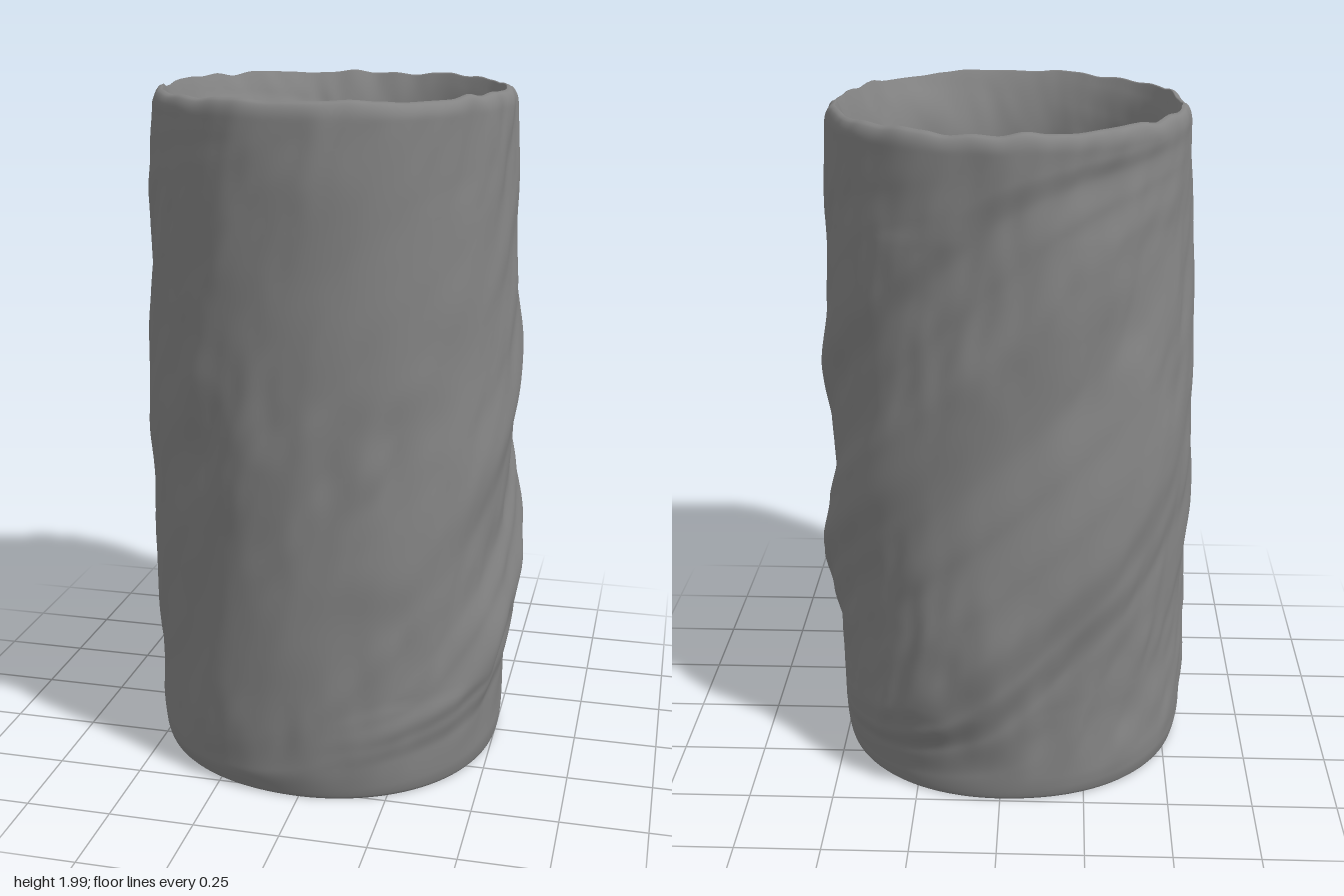
import * as THREE from 'three';

const COLS = 230, ROWS = 130, HEIGHT = 1.987, WALL = 0.085;
const TOP_TIP = 0.026, BASE_TIP = 0.012;

// Wall radius by height ([y, radius]) towards front, left (+x), back and right (-x)
const SIDES = [
  [[0, 0.545], [0.1, 0.557], [0.25, 0.562], [0.8, 0.56], [1.25, 0.575], [1.5, 0.569], [1.9, 0.565], [2, 0.562]],
  [[0, 0.51], [0.1, 0.515], [0.3, 0.52], [0.45, 0.545], [0.57, 0.567], [0.7, 0.545], [0.82, 0.52], [1, 0.53],
    [1.15, 0.545], [1.35, 0.525], [1.6, 0.51], [1.9, 0.5], [2, 0.497]],
  [[0, 0.5], [0.1, 0.502], [0.25, 0.517], [0.4, 0.553], [0.55, 0.57], [0.7, 0.562], [0.9, 0.537], [1.1, 0.51],
    [1.4, 0.522], [1.6, 0.505], [1.75, 0.492], [1.85, 0.505], [2, 0.508]],
  [[0, 0.55], [0.1, 0.557], [0.2, 0.56], [0.6, 0.56], [0.83, 0.57], [1, 0.563], [1.2, 0.555], [1.5, 0.548],
    [1.7, 0.537], [1.9, 0.527], [2, 0.523]],
];

const smooth = (t) => t * t * (3 - 2 * t);
const ramp = (v, from, to) => THREE.MathUtils.clamp((v - from) / (to - from), 0, 1);

function lookup(table, y) {
  let i = 0;
  while (i < table.length - 2 && y > table[i + 1][0]) i++;
  const [y0, r0] = table[i], [y1, r1] = table[i + 1];
  return r0 + (r1 - r0) * smooth(ramp(y, y0, y1));
}

// Blend the four side profiles around the ring, letting the bulges climb as they go round
function wallRadius(angle, y) {
  const q = (angle / (Math.PI / 2)) % 4, k = Math.floor(q), t = q - k;
  const climb = 0.7 * ramp(y, 0, 0.3) * ramp(y, 2, 1.7);
  const here = lookup(SIDES[k], y - climb * t);
  const next = lookup(SIDES[(k + 1) % 4], y + climb * (1 - t));
  return THREE.MathUtils.lerp(here, next, smooth(t)) + 0.008 * Math.sin(2 * angle) ** 2;
}

function hash(i, j, seed) {
  let h = (i * 374761393 + j * 668265263 + seed * 974634777) | 0;
  h = Math.imul(h ^ (h >>> 13), 1274126177);
  return ((h ^ (h >>> 16)) >>> 0) / 2147483648 - 1;
}

// Value noise that repeats every n cells around the ring
function noise(angle, v, n, seed) {
  const u = angle / (2 * Math.PI) * n;
  const i = Math.floor(u), j = Math.floor(v), fu = smooth(u - i), fv = smooth(v - j);
  const h = (a, b) => hash(((a % n) + n) % n, b, seed);
  return THREE.MathUtils.lerp(
    THREE.MathUtils.lerp(h(i, j), h(i + 1, j), fu),
    THREE.MathUtils.lerp(h(i, j + 1), h(i + 1, j + 1), fu), fv);
}

// Steep slanting bark-like streaks, stronger in some patches than others
function bark(angle, y, seed) {
  const slant = angle - 0.5 * y;
  const patch = 0.55 + 0.45 * noise(angle, y * 2, 7, seed + 3);
  return 0.006 * noise(slant, y * 2, 13, seed)
    + 0.011 * patch * noise(slant, y * 4, 38, seed + 1)
    + 0.005 * patch * noise(slant, y * 9, 76, seed + 2);
}

// Closed wall section: outer face up to a thin rounded lip, inner face back down to the base edge
function wallSection() {
  const rows = [];
  const heightAt = (t) => HEIGHT * (0.25 * t + 0.375 * (1 - Math.cos(Math.PI * t)));
  const round = (depth, size) => 1 - Math.sqrt(1 - (1 - ramp(depth, 0, size)) ** 2);
  const thin = (depth, size) => (1 - ramp(depth, 0, size)) ** 2;
  for (let i = 0; i < ROWS; i++) {
    const y = heightAt(i / ROWS);
    rows.push({ y, inset: TOP_TIP * round(HEIGHT - y, 0.045) + BASE_TIP * round(y, 0.08) });
  }
  for (let i = 0; i < ROWS; i++) {
    const y = heightAt(1 - i / ROWS);
    rows.push({ y, inset: WALL - (WALL - TOP_TIP) * thin(HEIGHT - y, 0.24) - (WALL - BASE_TIP) * thin(y, 0.24) });
  }
  return rows;
}

function barkTube() {
  const rows = wallSection(), positions = [], index = [];
  rows.forEach(({ y, inset }, r) => {
    const fade = smooth(ramp(y, 0, 0.22));
    const rim = smooth(ramp(y, 1.9, HEIGHT));
    for (let c = 0; c < COLS; c++) {
      const angle = 2 * Math.PI * c / COLS;
      const rough = THREE.MathUtils.lerp(bark(angle, y, 11), bark(angle, y, 47), inset / WALL);
      const radius = wallRadius(angle, y) - inset + rough * fade;
      const lift = rim * 0.009 * noise(angle, 0.5, 46, 5);
      positions.push(radius * Math.sin(angle), y + lift, radius * Math.cos(angle));
      const c2 = (c + 1) % COLS, r2 = (r + 1) % rows.length;
      const a = r * COLS + c, b = r * COLS + c2, d = r2 * COLS + c, e = r2 * COLS + c2;
      index.push(a, b, e, a, e, d);
    }
  });
  const geometry = new THREE.BufferGeometry();
  geometry.setAttribute('position', new THREE.Float32BufferAttribute(positions, 3));
  geometry.setIndex(index);
  geometry.computeVertexNormals();
  return geometry;
}

export function createModel() {
  const group = new THREE.Group();
  group.name = 'hollowLog';
  const tube = new THREE.Mesh(barkTube(), new THREE.MeshStandardMaterial({ color: 0x848484 }));
  tube.name = 'barkTube';
  group.add(tube);
  return group;
}
